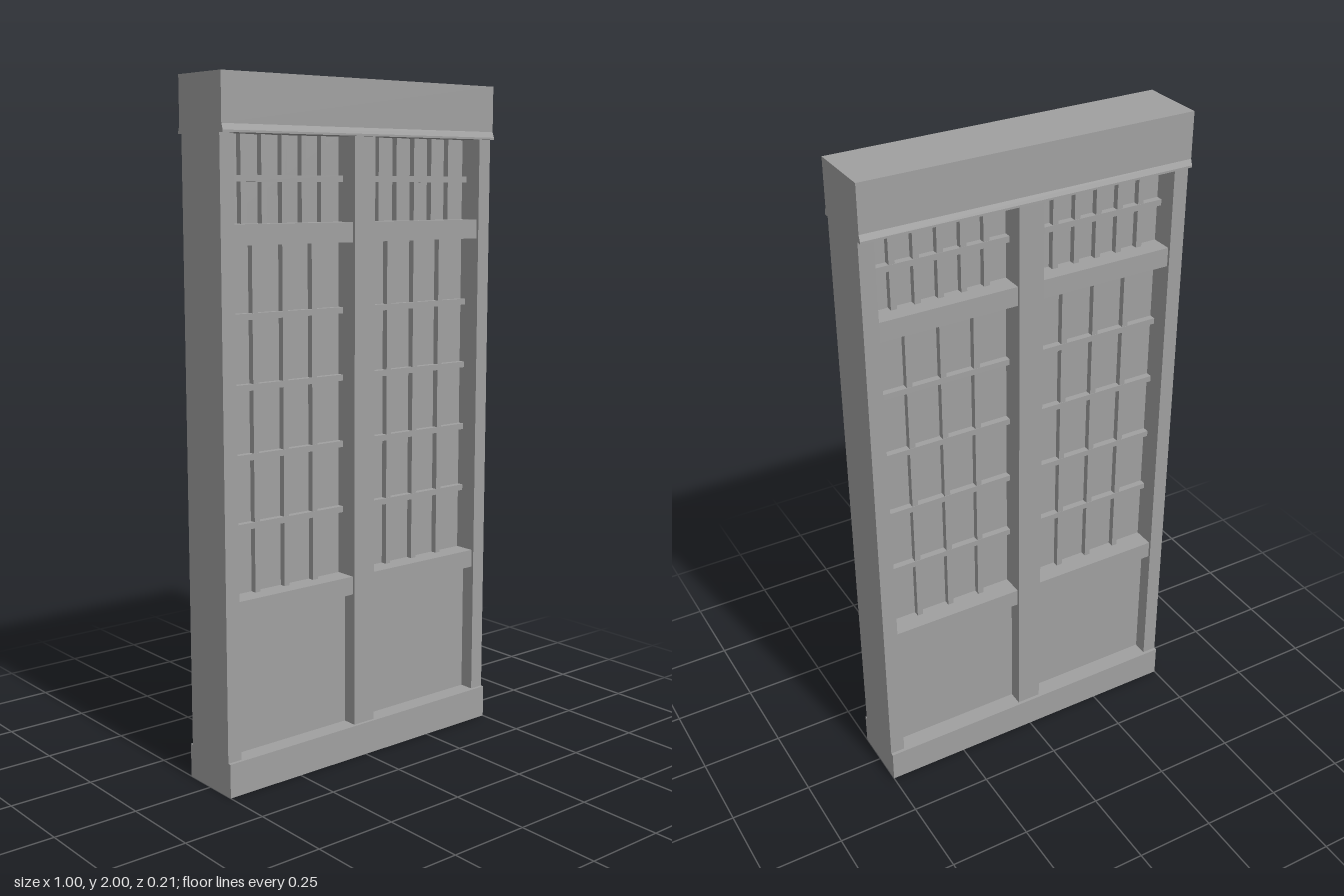
import * as THREE from 'three';

export function createModel() {
  const group = new THREE.Group();
  const grey = new THREE.MeshStandardMaterial({ color: 0xa0a0a0 });
  grey.name = 'paintedGrey';

  // Box from its x and y ranges, with a depth symmetric about z = 0
  function box(name, x0, x1, y0, y1, halfDepth) {
    const geo = new THREE.BoxGeometry(x1 - x0, y1 - y0, halfDepth * 2);
    const mesh = new THREE.Mesh(geo, grey);
    mesh.name = name;
    mesh.position.set((x0 + x1) / 2, (y0 + y1) / 2, 0);
    group.add(mesh);
  }

  // Sill, side posts and centre post
  box('sill', -0.5, 0.5, 0, 0.1, 0.1);
  box('rightPost', -0.5, -0.455, 0.1, 1.845, 0.09);
  box('leftPost', 0.455, 0.5, 0.1, 1.845, 0.09);
  box('centrePost', -0.038, 0.038, 0.1, 1.845, 0.09);

  // Header with a small flared drip edge along its bottom
  const half = [[0.106, 1.842], [0.106, 1.848], [0.1, 1.865], [0.1, 2]];
  const points = [...half, ...half.map(([z, y]) => [-z, y]).reverse()];
  const profile = new THREE.Shape(points.map(([z, y]) => new THREE.Vector2(z, y)));
  const headerGeo = new THREE.ExtrudeGeometry(profile, { depth: 1, bevelEnabled: false });
  headerGeo.translate(0, 0, -0.5).rotateY(Math.PI / 2);
  const header = new THREE.Mesh(headerGeo, grey);
  header.name = 'header';
  group.add(header);

  // Two identical bays, each with a solid base and two latticed windows
  for (const [side, x0, x1] of [['right', -0.455, -0.038], ['left', 0.038, 0.455]]) {
    box(side + 'LowerPanel', x0, x1, 0.1, 0.505, 0.045);
    box(side + 'MiddleRail', x0, x1, 0.505, 0.56, 0.082);
    box(side + 'WindowPanel', x0, x1, 0.56, 1.545, 0.016);
    box(side + 'UpperRail', x0, x1, 1.545, 1.602, 0.082);
    box(side + 'TransomPanel', x0, x1, 1.602, 1.845, 0.016);

    // Vertical and horizontal glazing bars
    const lattice = (name, y0, y1, columns, rows) => {
      for (let i = 1; i < columns; i++) {
        const x = x0 + ((x1 - x0) * i) / columns;
        box(name + 'Upright', x - 0.009, x + 0.009, y0, y1, 0.035);
      }
      for (let j = 1; j < rows; j++) {
        const y = y0 + ((y1 - y0) * j) / rows;
        box(name + 'Crossbar', x0, x1, y - 0.009, y + 0.009, 0.036);
      }
    };
    lattice(side + 'Window', 0.56, 1.545, 4, 5);
    lattice(side + 'Transom', 1.602, 1.845, 6, 2);
  }
  return group;
}
